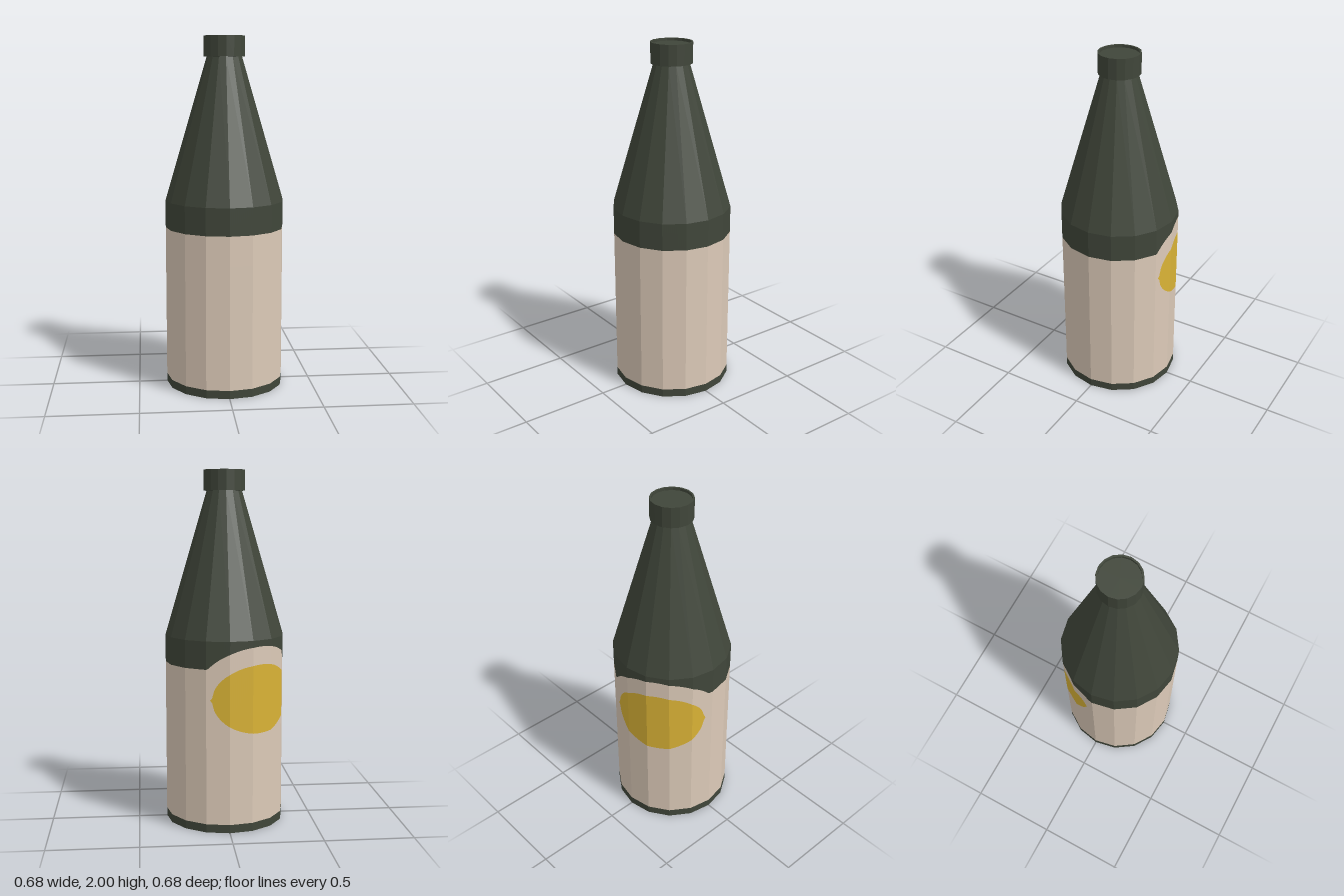
import * as THREE from 'three';

const SIDES = 16, R = 0.338, STEPS = 12;
const DEG = Math.PI / 180;

function material(name, color) {
  const m = new THREE.MeshStandardMaterial({ color });
  m.name = name;
  return m;
}

// Faceted solid of revolution from a bottom-to-top profile
function turned(name, profile, mat) {
  const points = profile.map(([r, y]) => new THREE.Vector2(r, y));
  const geometry = new THREE.LatheGeometry(points, SIDES).toNonIndexed();
  geometry.computeVertexNormals();
  const mesh = new THREE.Mesh(geometry, mat);
  mesh.name = name;
  return mesh;
}

// Point on the sixteen-sided wall at an angle in degrees
function wallPoint(angle, y) {
  const face = 360 / SIDES;
  const within = (angle % face) - face / 2;
  const r = R * Math.cos(face / 2 * DEG) / Math.cos(within * DEG);
  return [r * Math.sin(angle * DEG), y, r * Math.cos(angle * DEG)];
}

// Strip of the wall between two height curves
function wallBand(name, low, high, mat) {
  const positions = [], count = SIDES * STEPS;
  for (let i = 0; i < count; i++) {
    const a = i * 360 / count, b = (i + 1) * 360 / count;
    const la = low(a), lb = low(b), ha = high(a), hb = high(b);
    if (hb - lb > 1e-6) positions.push(...wallPoint(a, la), ...wallPoint(b, lb), ...wallPoint(b, hb));
    if (ha - la > 1e-6) positions.push(...wallPoint(a, la), ...wallPoint(b, hb), ...wallPoint(a, ha));
  }
  const geometry = new THREE.BufferGeometry();
  geometry.setAttribute('position', new THREE.Float32BufferAttribute(positions, 3));
  geometry.computeVertexNormals();
  const mesh = new THREE.Mesh(geometry, mat);
  mesh.name = name;
  return mesh;
}

export function createModel() {
  const glass = material('darkGreenGlass', 0x40463a);
  const paper = material('beigePaper', 0xdccab8);
  const gold = material('goldPrint', 0xdab336);

  // Oval emblem at the back, and the label edge that arches over it
  const centre = 212, middle = 0.75;
  const oval = (angle, width, height) =>
    height * Math.sqrt(Math.max(0, 1 - ((angle - centre) / width) ** 2));
  const ovalLow = a => middle - oval(a, 49, 0.195);
  const ovalHigh = a => middle + oval(a, 49, 0.19);
  const labelLow = () => 0.047;
  const labelHigh = a => Math.max(0.92, middle + oval(a, 66, 0.29));
  const shoulderY = () => 1.075;

  const bottle = new THREE.Group();
  bottle.name = 'bottle';
  bottle.add(
    // Foot with a hollow underside
    turned('base', [[0, 0.035], [0.3, 0.035], [0.3, 0], [R, 0], [R, 0.047]], glass),
    // Straight wall with the wrapped label
    wallBand('labelLower', labelLow, ovalLow, paper),
    wallBand('labelEmblem', ovalLow, ovalHigh, gold),
    wallBand('labelUpper', ovalHigh, labelHigh, paper),
    wallBand('upperWall', labelHigh, shoulderY, glass),
    // Tapering neck and recessed cap
    turned('neck', [[R, 1.075], [0.1, 1.885]], glass),
    turned('cap', [[0.09, 1.885], [0.117, 1.885], [0.117, 2], [0.107, 2], [0.107, 1.985], [0, 1.985]], glass),
  );
  return bottle;
}
